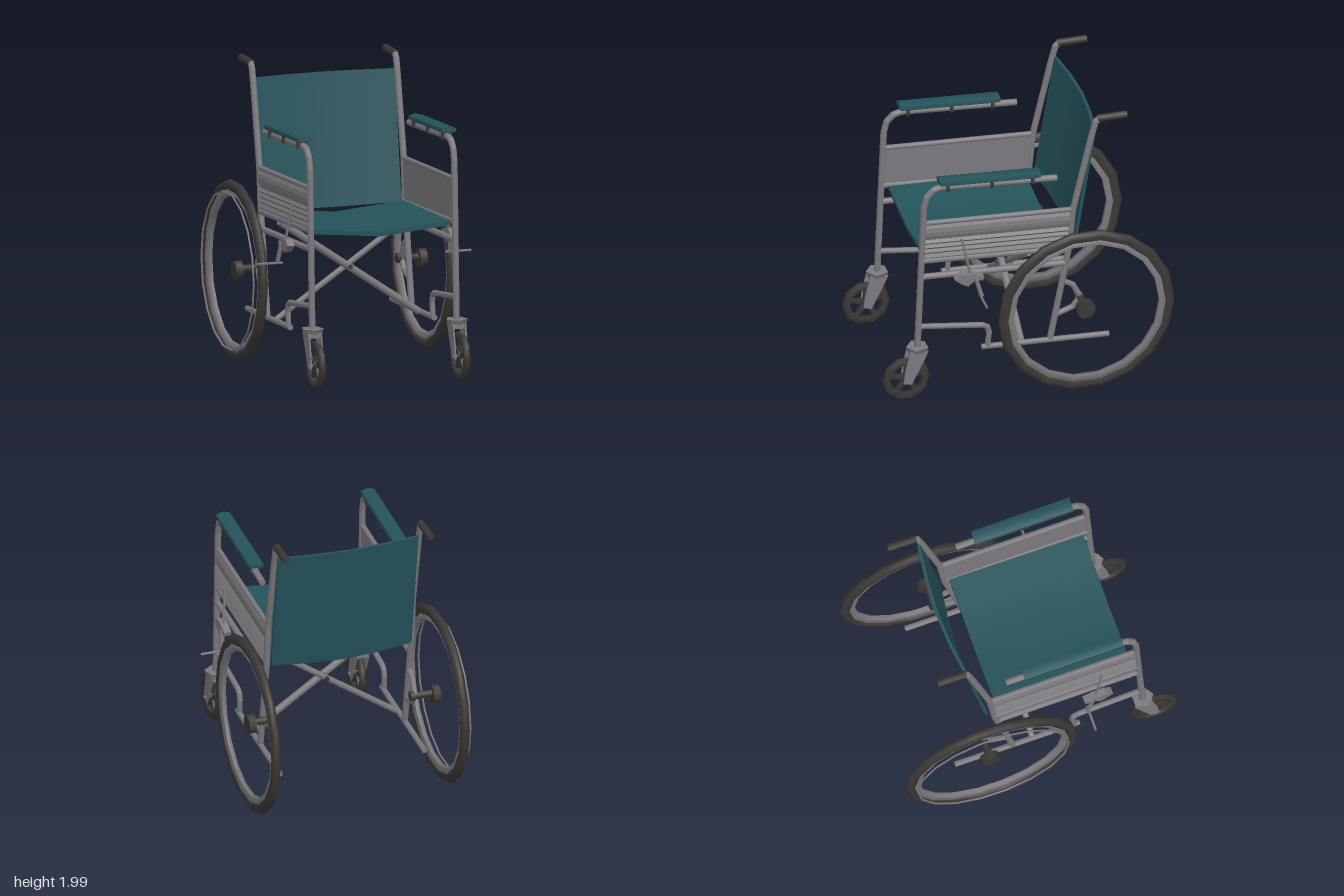
import * as THREE from 'three';

const mat = (name, color, side = THREE.FrontSide) => {
  const m = new THREE.MeshStandardMaterial({ color, side });
  m.name = name;
  return m;
};

export function createModel() {
  const steel = mat('greySteel', 0x7b797d);
  const teal = mat('tealVinyl', 0x24525a);
  const rubber = mat('darkRubber', 0x3a3834);
  const model = new THREE.Group();
  const V = (x, y, z) => new THREE.Vector3(x, y, z);

  const add = (parent, name, geo, material, x = 0, y = 0, z = 0) => {
    const m = new THREE.Mesh(geo, material);
    m.name = name;
    m.position.set(x, y, z);
    parent.add(m);
    return m;
  };

  // Chain of straight rods through points, with rounded joints
  const pipe = (parent, name, pts, r, material = steel, sides = 8) => {
    const g = new THREE.Group();
    g.name = name;
    parent.add(g);
    for (let i = 0; i < pts.length - 1; i++) {
      const d = pts[i + 1].clone().sub(pts[i]);
      const rod = add(g, name + 'Rod', new THREE.CylinderGeometry(r, r, d.length(), sides), material);
      rod.position.copy(pts[i]).addScaledVector(d, 0.5);
      rod.quaternion.setFromUnitVectors(V(0, 1, 0), d.normalize());
      if (i) add(g, name + 'Bend', new THREE.SphereGeometry(r, 8, 6), material, ...pts[i].toArray());
    }
    return g;
  };

  // Box whose vertices are moved by a rule
  const bent = (w, h, d, sx, sy, sz, rule) => {
    const geo = new THREE.BoxGeometry(w, h, d, sx, sy, sz);
    const p = geo.attributes.position;
    const v = V(0, 0, 0);
    for (let i = 0; i < p.count; i++) {
      v.fromBufferAttribute(p, i);
      rule(v);
      p.setXYZ(i, v.x, v.y, v.z);
    }
    geo.computeVertexNormals();
    return geo;
  };

  // Closed ring around the x axis; profile is [radius, x] pairs
  const ring = (profile, sides) => {
    const pts = [...profile, profile[0]].map(([r, x]) => new THREE.Vector2(r, x));
    return new THREE.LatheGeometry(pts, sides).rotateZ(Math.PI / 2);
  };

  // Plate drawn in (z, y), with its thickness centred on x
  const plate = (pts, t) => new THREE.ExtrudeGeometry(
    new THREE.Shape(pts.map(([z, y]) => new THREE.Vector2(z, y))),
    { depth: t, bevelEnabled: false }).translate(0, 0, -t / 2).rotateY(-Math.PI / 2);

  // Sagging seat sling
  add(model, 'seat', bent(0.98, 0.03, 0.935, 4, 1, 3, v => {
    const sag = 1 - Math.abs(v.x) / 0.49;
    v.y += 1.03 + 0.04 * v.z - 0.045 * sag;
  }), teal, 0, 0, 0.197);

  // Backrest sling, leaning and bowed to the rear
  add(model, 'backrest', bent(0.98, 0.87, 0.022, 4, 3, 1, v => {
    const bow = Math.cos(v.x / 0.49 * Math.PI / 2);
    const t = (v.y + 0.435) / 0.87;
    v.y += 1.44 - 0.015 * bow * (1 - t);
    v.z += -0.345 - 0.14 * t - 0.045 * bow;
  }), teal);

  // Crossed folding braces and their pivot bolt
  pipe(model, 'crossBrace', [V(-0.49, 1.0, 0.02), V(0.49, 0.33, 0.02)], 0.025);
  pipe(model, 'crossBrace', [V(0.49, 1.0, -0.035), V(-0.49, 0.33, -0.035)], 0.021);
  pipe(model, 'pivotBolt', [V(0, 0.668, 0.06), V(0, 0.668, -0.075)], 0.015, rubber, 6);

  for (const s of [1, -1]) {
    const side = new THREE.Group();
    side.name = s > 0 ? 'leftSide' : 'rightSide';
    model.add(side);
    const X = 0.505 * s;
    const P = (y, z) => V(X, y, z);

    // Tubular side frame
    pipe(side, 'frontPostAndArm', [P(0.4, 0.735), P(1.47, 0.69), P(1.55, 0.67),
      P(1.595, 0.625), P(1.61, 0.57), P(1.56, -0.22)], 0.023);
    pipe(side, 'rearPost', [P(0.33, -0.175), P(0.98, -0.3), P(1.3, -0.333),
      P(1.85, -0.46), P(1.95, -0.488), P(1.975, -0.52)], 0.023);
    pipe(side, 'pushHandle', [P(1.973, -0.5), P(1.973, -0.7)], 0.026, rubber);
    pipe(side, 'upperRail', [P(1.35, 0.695), P(1.3, -0.33)], 0.018);
    pipe(side, 'seatRail', [P(1.065, 0.705), P(1.01, -0.3)], 0.024);
    pipe(side, 'middleRail', [P(0.94, 0.71), P(0.895, -0.285)], 0.022);
    pipe(side, 'footRail', [P(0.56, 0.72), P(0.505, 0.29), P(0.485, 0.255),
      P(0.44, 0.243), P(0.335, 0.255)], 0.02);
    pipe(side, 'lowerRail', [P(0.338, 0.295), P(0.303, -0.577)], 0.02);

    // Corrugated side panel, sloping down toward the back
    const outline = [[0.492, 1.34], [0.492, 1.06], [0.51, 1.06], [0.522, 1.09], [0.51, 1.115],
      [0.522, 1.13], [0.51, 1.15], [0.522, 1.165], [0.51, 1.185], [0.522, 1.2], [0.508, 1.22],
      [0.52, 1.25], [0.523, 1.28], [0.518, 1.31], [0.505, 1.335]];
    const panel = new THREE.ExtrudeGeometry(
      new THREE.Shape(outline.map(([x, y]) => new THREE.Vector2(x * s, y))),
      { depth: 1.01, bevelEnabled: false });
    panel.applyMatrix4(new THREE.Matrix4().set(1, 0, 0, 0, 0, 1, 0.05, -0.05, 0, 0, 1, -0.32, 0, 0, 0, 1));
    add(side, 'sidePanel', panel, steel);

    // Padded armrest on small clips
    const tilt = 0.055;
    add(side, 'armrestPad', bent(0.1, 0.035, 0.69, 2, 1, 1, v => {
      if (v.y > 0 && Math.abs(v.x) > 0.04) { v.y -= 0.012; v.x *= 0.94; }
    }), teal, X, 1.645, 0.245).rotation.x = -tilt;
    add(side, 'armrestBase', new THREE.BoxGeometry(0.085, 0.008, 0.66), rubber, X, 1.624, 0.245).rotation.x = -tilt;
    for (const z of [0.53, 0.23, -0.05])
      add(side, 'armrestClip', new THREE.BoxGeometry(0.07, 0.055, 0.02), rubber, X, 1.602 + tilt * (z - 0.3), z);

    // Large rear wheel
    const wheel = new THREE.Group();
    wheel.name = 'rearWheel';
    wheel.position.set(0.66 * s, 0.608, -0.38);
    side.add(wheel);
    add(wheel, 'tyre', ring([[0.54, -0.024], [0.572, -0.033], [0.597, -0.02], [0.605, 0],
      [0.597, 0.02], [0.572, 0.033], [0.54, 0.024]], 18), rubber);
    add(wheel, 'rim', ring([[0.5, -0.014], [0.55, -0.026], [0.55, 0.026], [0.5, 0.014]], 18), steel);
    if (s < 0) // slim hand ring on the right wheel
      add(wheel, 'handRing', new THREE.TorusGeometry(0.53, 0.007, 5, 18).rotateY(Math.PI / 2), steel, -0.052);
    add(wheel, 'hub', new THREE.CylinderGeometry(0.065, 0.065, 0.05, 9).rotateZ(Math.PI / 2), rubber, -0.015 * s);
    pipe(side, 'axle', [V(0.47 * s, 0.615, -0.38), V(0.67 * s, 0.615, -0.38)], 0.025, rubber);
    add(side, 'axleCollar', new THREE.CylinderGeometry(0.034, 0.034, 0.03, 8).rotateZ(Math.PI / 2),
      rubber, 0.485 * s, 0.615, -0.38);

    // Forked axle bracket behind the rear post
    pipe(side, 'axleBracket', [P(0.76, -0.26), P(0.72, -0.33), P(0.62, -0.38),
      P(0.55, -0.33), P(0.51, -0.22)], 0.02);

    // Front caster with five spokes
    const caster = new THREE.Group();
    caster.name = 'frontCaster';
    caster.position.set(X, 0.178, 0.813);
    side.add(caster);
    add(caster, 'casterTyre', ring([[0.112, -0.018], [0.15, -0.023], [0.165, 0],
      [0.15, 0.023], [0.112, 0.018]], 10), rubber);
    add(caster, 'casterHub', new THREE.CylinderGeometry(0.035, 0.035, 0.05, 8).rotateZ(Math.PI / 2), rubber);
    for (let i = 0; i < 5; i++)
      add(caster, 'casterSpoke', new THREE.BoxGeometry(0.022, 0.11, 0.03).translate(0, 0.07, 0),
        rubber).rotation.x = i * Math.PI * 0.4;
    pipe(caster, 'casterAxle', [V(-0.055, 0, 0), V(0.055, 0, 0)], 0.014, steel, 6);

    // Caster fork: crown and two tapered cheeks
    add(side, 'forkCrown', new THREE.CylinderGeometry(0.078, 0.066, 0.032, 5), steel, X, 0.398, 0.735);
    for (const k of [-0.042, 0.042])
      add(side, 'forkCheek', plate([[0.795, 0.39], [0.67, 0.39], [0.705, 0.31], [0.785, 0.15],
        [0.84, 0.16], [0.83, 0.24]], 0.01), steel, X + k);
    add(side, 'forkTop', new THREE.BoxGeometry(0.085, 0.03, 0.11), steel, X, 0.37, 0.735);

    // Wheel brake: mount, lever and cross pin
    add(side, 'brakeMount', plate([[0.5, 0.93], [0.45, 0.965], [0.37, 0.955], [0.3, 0.93], [0.31, 0.9],
      [0.36, 0.91], [0.41, 0.87], [0.45, 0.89]], 0.05), steel, 0.57 * s);
    pipe(side, 'brakeLever', [V(0.54 * s, 1.21, 0.44), V(0.575 * s, 0.93, 0.385)], 0.009, steel, 6);
    pipe(side, 'brakeArm', [V(0.59 * s, 0.93, 0.36), V(0.605 * s, 0.79, 0.32)], 0.016, steel, 6);
    pipe(side, 'brakePin', [V(0.57 * s, 0.785, 0.325), V(0.75 * s, 0.785, 0.325)], 0.009, steel, 6);
  }

  return model;
}
